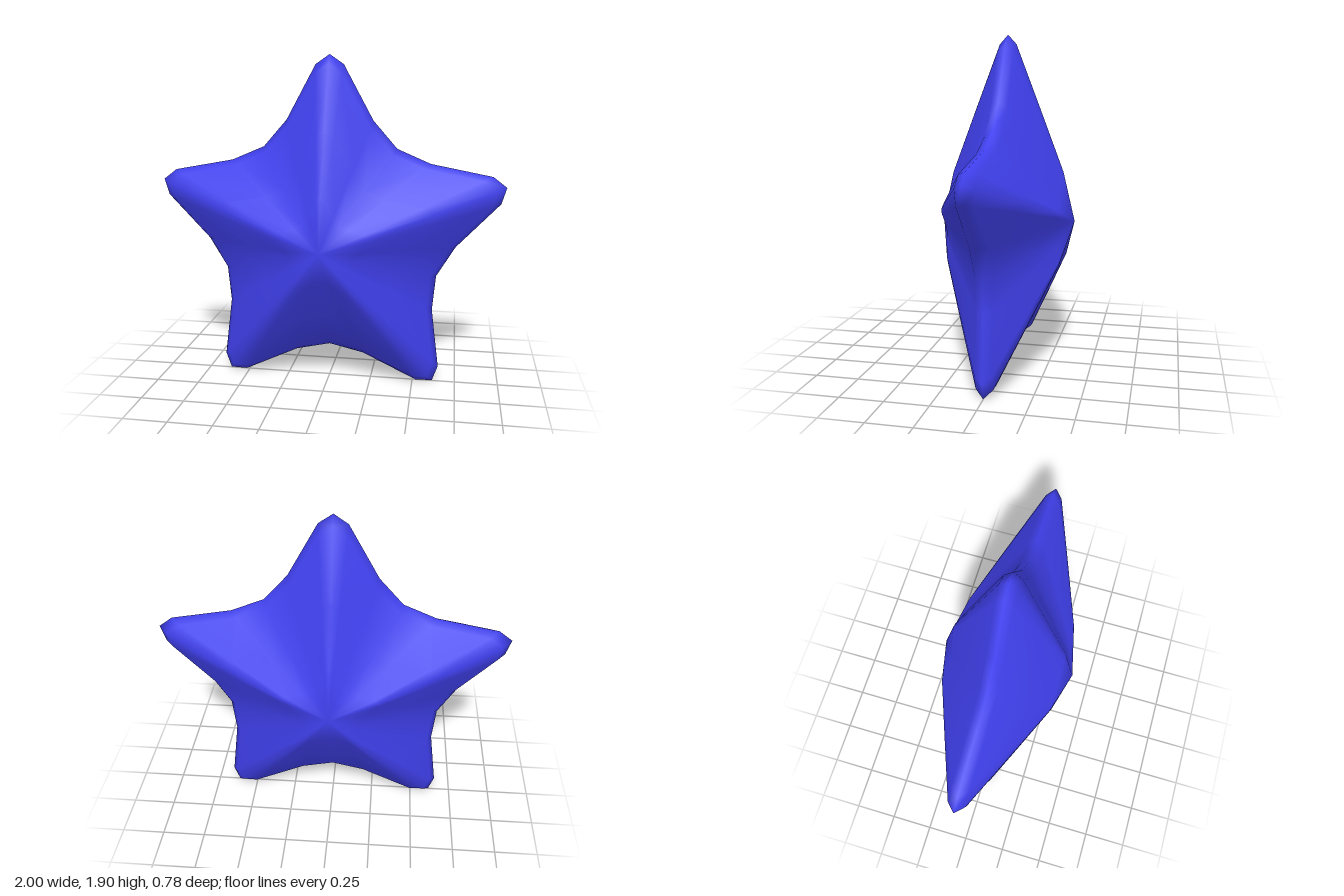
import * as THREE from 'three';

// Half of one arm's outline: [radius, degrees from the arm's axis]
const ARM = [[1.05, 0], [0.998, 4.6], [0.729, 20], [0.655, 36], [0.729, 52], [0.998, 67.4]];
// Thickness profile: [fraction of the outline radius, z], front to back
const FRONT = [[0.27, 0.322], [0.6, 0.19], [0.95, 0.048]];
const RINGS = [...FRONT, [1, 0], ...FRONT.map(([t, z]) => [t, -z]).reverse()];
const DEPTH = 0.39;
const CENTRE_Y = 0.856;

export function createModel() {
  // Outline of the five-pointed star, clockwise from the top tip
  const outline = [];
  for (let arm = 0; arm < 5; arm++) {
    for (const [r, deg] of ARM) {
      const a = THREE.MathUtils.degToRad(arm * 72 + deg);
      outline.push([r * Math.sin(a), r * Math.cos(a)]);
    }
  }

  // Scaled outlines stacked between the front and back peaks
  const n = outline.length;
  const positions = [0, 0, DEPTH];
  for (const [t, z] of RINGS) {
    for (const [x, y] of outline) positions.push(x * t, y * t, z);
  }
  const back = positions.length / 3;
  positions.push(0, 0, -DEPTH);

  const index = [];
  const at = (ring, i) => 1 + ring * n + (i % n);
  for (let i = 0; i < n; i++) {
    index.push(0, at(0, i + 1), at(0, i));
    for (let k = 0; k < RINGS.length - 1; k++) {
      const a = at(k, i), b = at(k, i + 1), c = at(k + 1, i + 1), d = at(k + 1, i);
      // Mirror the diagonal on alternate halves of each arm
      if (i % 6 < 3) index.push(a, b, d, b, c, d);
      else index.push(a, b, c, a, c, d);
    }
    const last = RINGS.length - 1;
    index.push(back, at(last, i), at(last, i + 1));
  }

  const geometry = new THREE.BufferGeometry();
  geometry.setAttribute('position', new THREE.Float32BufferAttribute(positions, 3));
  geometry.setIndex(index);
  geometry.computeVertexNormals();

  const star = new THREE.Mesh(geometry, new THREE.MeshStandardMaterial({ color: 0x4040ee }));
  star.name = 'star';
  star.position.y = CENTRE_Y;

  const group = new THREE.Group();
  group.name = 'puffyStar';
  group.add(star);
  return group;
}
